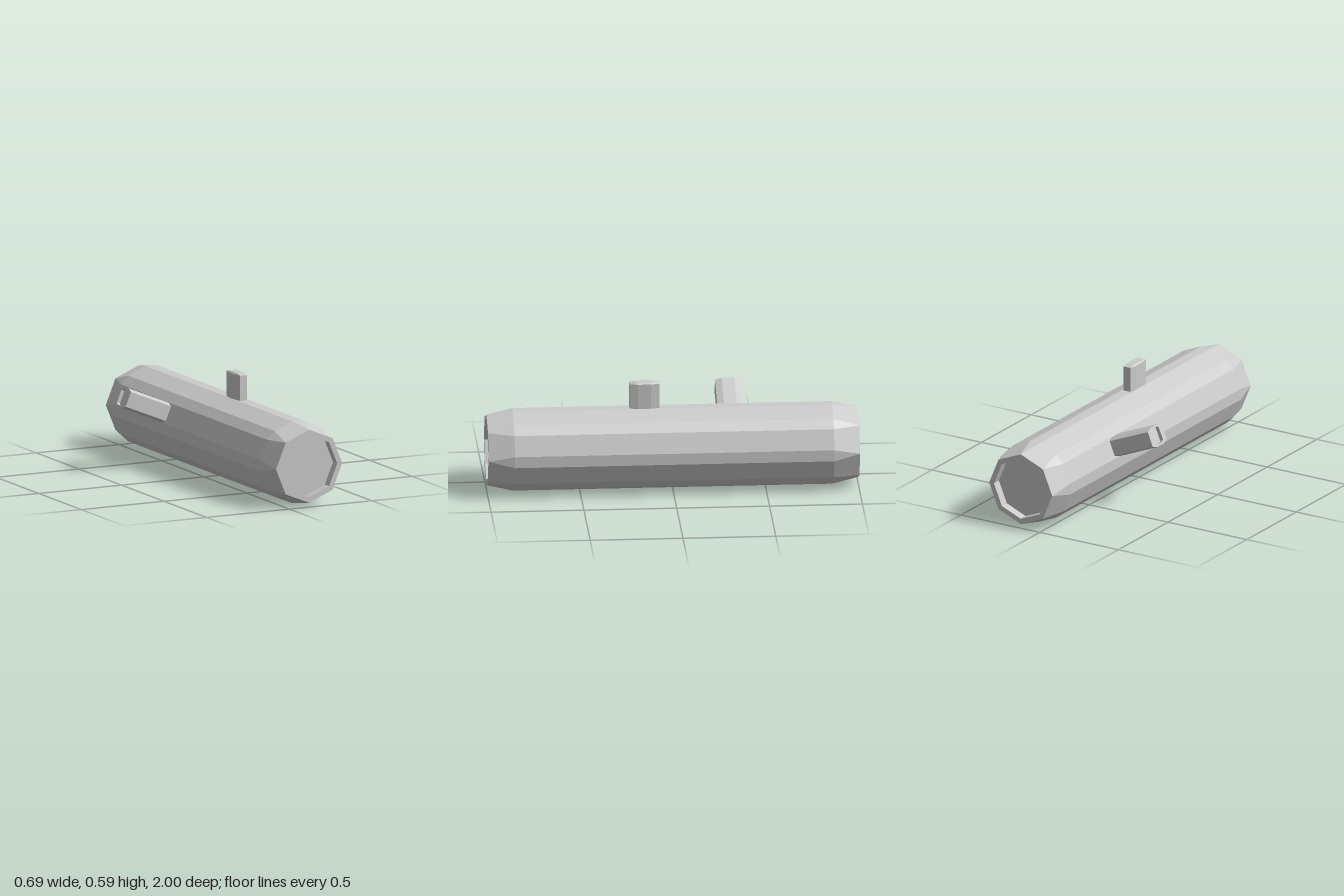
import * as THREE from 'three';

const material = new THREE.MeshStandardMaterial({ color: 0xcccccc, flatShading: true });

// Flat-shaded skin over rings of equal point count, stacked along z; both ends closed.
function loft(rings) {
  const pos = [];
  const tri = (a, b, c) => {
    const area = b.clone().sub(a).cross(c.clone().sub(a)).length();
    if (area > 1e-9) for (const p of [a, b, c]) pos.push(p.x, p.y, p.z);
  };
  const n = rings[0].length;
  for (let r = 0; r + 1 < rings.length; r++) {
    for (let i = 0; i < n; i++) {
      const j = (i + 1) % n, lo = rings[r], hi = rings[r + 1];
      tri(lo[i], lo[j], hi[j]);
      tri(lo[i], hi[j], hi[i]);
    }
  }
  const first = rings[0], last = rings[rings.length - 1];
  for (let i = 1; i + 1 < n; i++) {
    tri(first[0], first[i + 1], first[i]);
    tri(last[0], last[i], last[i + 1]);
  }
  const geo = new THREE.BufferGeometry();
  geo.setAttribute('position', new THREE.Float32BufferAttribute(pos, 3));
  geo.computeVertexNormals();
  return geo;
}

// Octagon whose corners are each split by +-split radians (16 points).
function splitOctagon(radius, split, z) {
  const pts = [];
  for (let i = 0; i < 8; i++) {
    for (const s of [-1, 1]) {
      const a = i * Math.PI / 4 + s * split;
      pts.push(new THREE.Vector3(radius * Math.cos(a), radius * Math.sin(a), z));
    }
  }
  return pts;
}

// Rectangle of half sizes a x b with corners cut down to ca and cb.
function cutRect(a, b, ca, cb, z) {
  return [[a, -cb], [a, cb], [ca, b], [-ca, b], [-a, cb], [-a, -cb], [-ca, -b], [ca, -b]]
    .map(([x, y]) => new THREE.Vector3(x, y, z));
}

function part(name, geometry) {
  const mesh = new THREE.Mesh(geometry, material);
  mesh.name = name;
  return mesh;
}

export function createModel() {
  const group = new THREE.Group();
  group.name = 'cylinderAssembly';
  const cx = 0.12, cy = 0.224;

  // Main barrel: tapered ends, each with a shallow octagonal recess
  const body = part('barrel', loft([
    splitOctagon(0.17, 0, -0.95),
    splitOctagon(0.17, 0, -1),
    splitOctagon(0.2, 0, -1),
    splitOctagon(0.226, 0.138, -0.86),
    splitOctagon(0.226, 0.138, 0.86),
    splitOctagon(0.2, 0, 1),
    splitOctagon(0.17, 0, 1),
    splitOctagon(0.17, 0, 0.95),
  ]));
  body.position.set(cx, cy, 0);
  group.add(body);

  // Upright tab with a bevelled top
  const tab = part('topTab', loft([
    cutRect(0.03, 0.08, 0.021, 0.035, 0.43),
    cutRect(0.03, 0.08, 0.021, 0.035, 0.585),
    cutRect(0.022, 0.05, 0.021, 0.035, 0.593),
  ]));
  tab.rotation.x = -Math.PI / 2;
  tab.position.set(cx, 0, 0.15);
  group.add(tab);

  // Slanted side arm with a slot in its end
  const arm = part('sideArm', loft([
    cutRect(0.0555, 0.07, 0.042, 0.035, 0.2),
    cutRect(0.0555, 0.07, 0.042, 0.035, 0.481),
    cutRect(0.045, 0.037, 0.036, 0.025, 0.481),
    cutRect(0.045, 0.037, 0.036, 0.025, 0.461),
  ]));
  const c = Math.cos(Math.PI / 8), s = Math.sin(Math.PI / 8);
  arm.quaternion.setFromRotationMatrix(new THREE.Matrix4().makeBasis(
    new THREE.Vector3(s, c, 0), new THREE.Vector3(0, 0, -1), new THREE.Vector3(-c, s, 0)));
  arm.position.set(cx, cy, -0.33);
  group.add(arm);

  return group;
}
